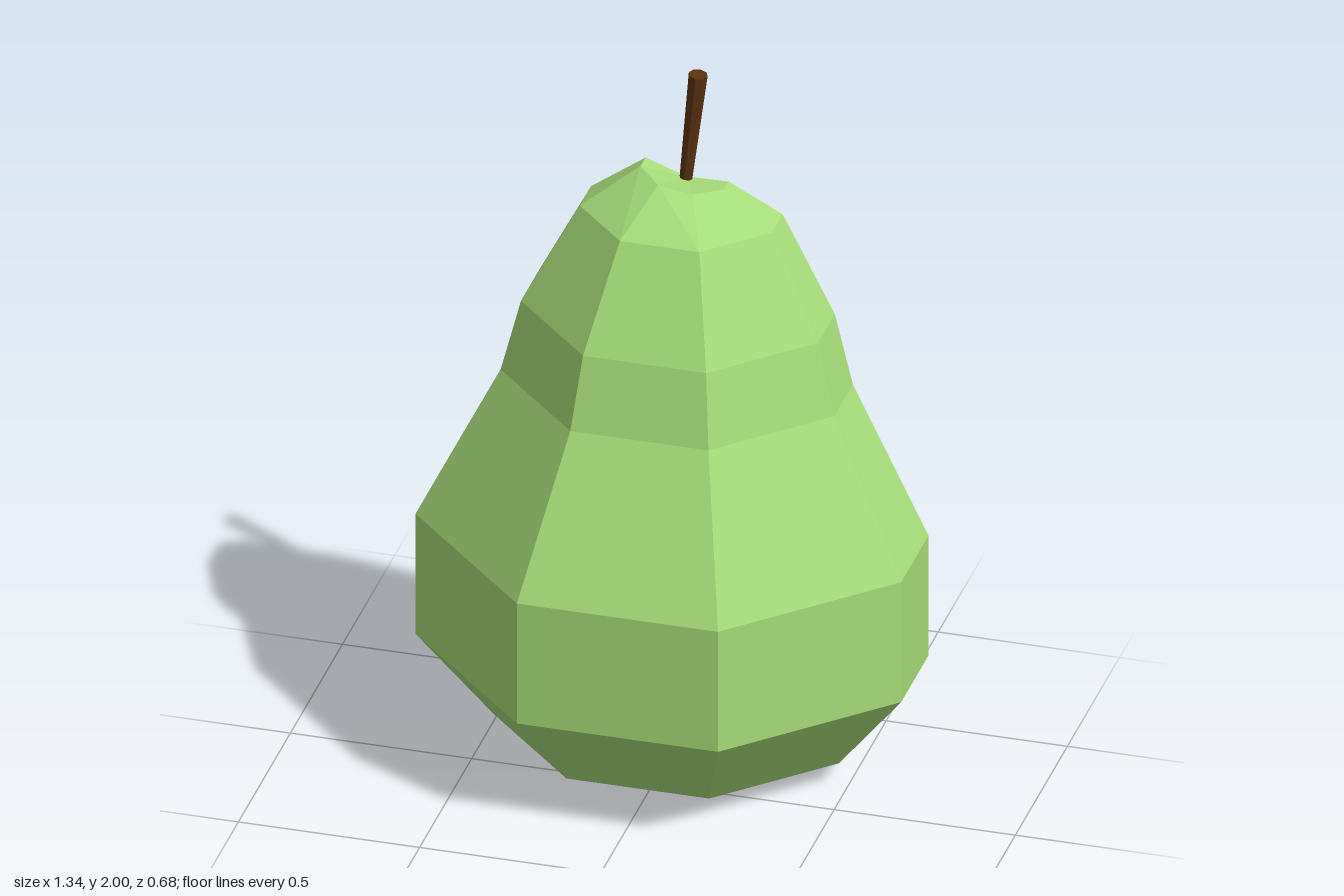
import * as THREE from 'three';

const mat = (name, color, extra = {}) => {
  const m = new THREE.MeshStandardMaterial({ color, ...extra });
  m.name = name;
  return m;
};

// Cut plane: flat on the -x half, bending slightly forward on the +x half
const BACK = -0.33;
const cutZ = (x) => BACK + 0.015 * Math.max(0, x) / 0.67;

// Skin profile: [half width, height, extra height per side step at the crown]
const PROFILE = [
  [0, 0], [0.255, 0], [0.475, 0.065], [0.67, 0.325], [0.67, 0.69],
  [0.46, 1.115], [0.41, 1.32], [0.265, 1.6], [0.115, 1.692, 0.018], [0, 1.67],
];

// Half octagon directions, running from +x round the front to -x
const K = Math.SQRT2 - 1;
const HALF_OCTAGON = [[1, 0], [1, K], [K, 1], [-K, 1], [-1, K], [-1, 0]];

function skinGeometry() {
  const rings = PROFILE.map(([a, y, tilt = 0]) => HALF_OCTAGON.map(([dx, dz]) => {
    const x = a * dx;
    return [x, y - tilt * dx, dz === 0 ? cutZ(x) : BACK + a * dz];
  }));
  const pos = [];
  for (let r = 0; r < rings.length - 1; r++) {
    for (let j = 0; j < 5; j++) {
      const a = rings[r][j], b = rings[r][j + 1];
      const c = rings[r + 1][j + 1], d = rings[r + 1][j];
      if (PROFILE[r + 1][0] > 0) pos.push(...a, ...d, ...c);
      if (PROFILE[r][0] > 0) pos.push(...a, ...c, ...b);
    }
  }
  const g = new THREE.BufferGeometry();
  g.setAttribute('position', new THREE.Float32BufferAttribute(pos, 3));
  g.computeVertexNormals();
  return g;
}

// Flat shapes facing backwards, laid on the cut plane
function cutGeometry(outlines, lift) {
  const shapes = outlines.map((pts) => new THREE.Shape(pts.map(([x, y]) => new THREE.Vector2(-x, y))));
  const g = new THREE.ShapeGeometry(shapes).rotateY(Math.PI);
  const p = g.attributes.position;
  for (let i = 0; i < p.count; i++) p.setZ(i, cutZ(p.getX(i)) - lift);
  g.computeVertexNormals();
  return g;
}

// Mirror one half outline so each half stays planar
const bothHalves = (left, right = left) => [left, right.map(([x, y]) => [-x, y])];

export function createModel() {
  const group = new THREE.Group();
  const skin = mat('skin green', 0xa6dc79, { flatShading: true });
  const flesh = mat('flesh grey', 0xd6d6d6);
  const seedBlack = mat('seed black', 0x131313);
  const bark = mat('stem brown', 0x5a3210, { flatShading: true });

  const add = (name, geometry, material) => {
    const mesh = new THREE.Mesh(geometry, material);
    mesh.name = name;
    group.add(mesh);
    return mesh;
  };

  add('skin', skinGeometry(), skin);

  // Green border of the cut, with the crown tilted as on the skin
  const side = (s) => PROFILE.map(([a, y, tilt = 0]) => [a, y - s * tilt]);
  add('cutRim', cutGeometry(bothHalves(side(1), side(-1)), 0), skin);

  // Flesh plate, inset from the rim
  const inner = [
    [0, 0.04], [0.242, 0.04], [0.452, 0.095], [0.642, 0.337], [0.642, 0.683],
    [0.432, 1.107], [0.382, 1.308], [0.24, 1.578], [0.1, 1.656], [0, 1.645],
  ];
  add('flesh', cutGeometry(bothHalves(inner), 0.003), flesh);

  // Seeds: teardrops pointing up towards the core
  const seed = [[0.085, 0.7], [0.13, 0.538], [0.152, 0.538], [0.207, 0.61], [0.2, 0.635]];
  add('seeds', cutGeometry(bothHalves(seed), 0.005), seedBlack);

  // Stem: leaning, wider at the tip
  const from = new THREE.Vector3(-0.002, 1.655, -0.318);
  const to = new THREE.Vector3(0.036, 1.997, -0.31);
  const stem = add('stem', new THREE.CylinderGeometry(0.026, 0.017, from.distanceTo(to), 8), bark);
  stem.position.copy(from).lerp(to, 0.5);
  stem.quaternion.setFromUnitVectors(new THREE.Vector3(0, 1, 0), to.clone().sub(from).normalize());

  return group;
}
